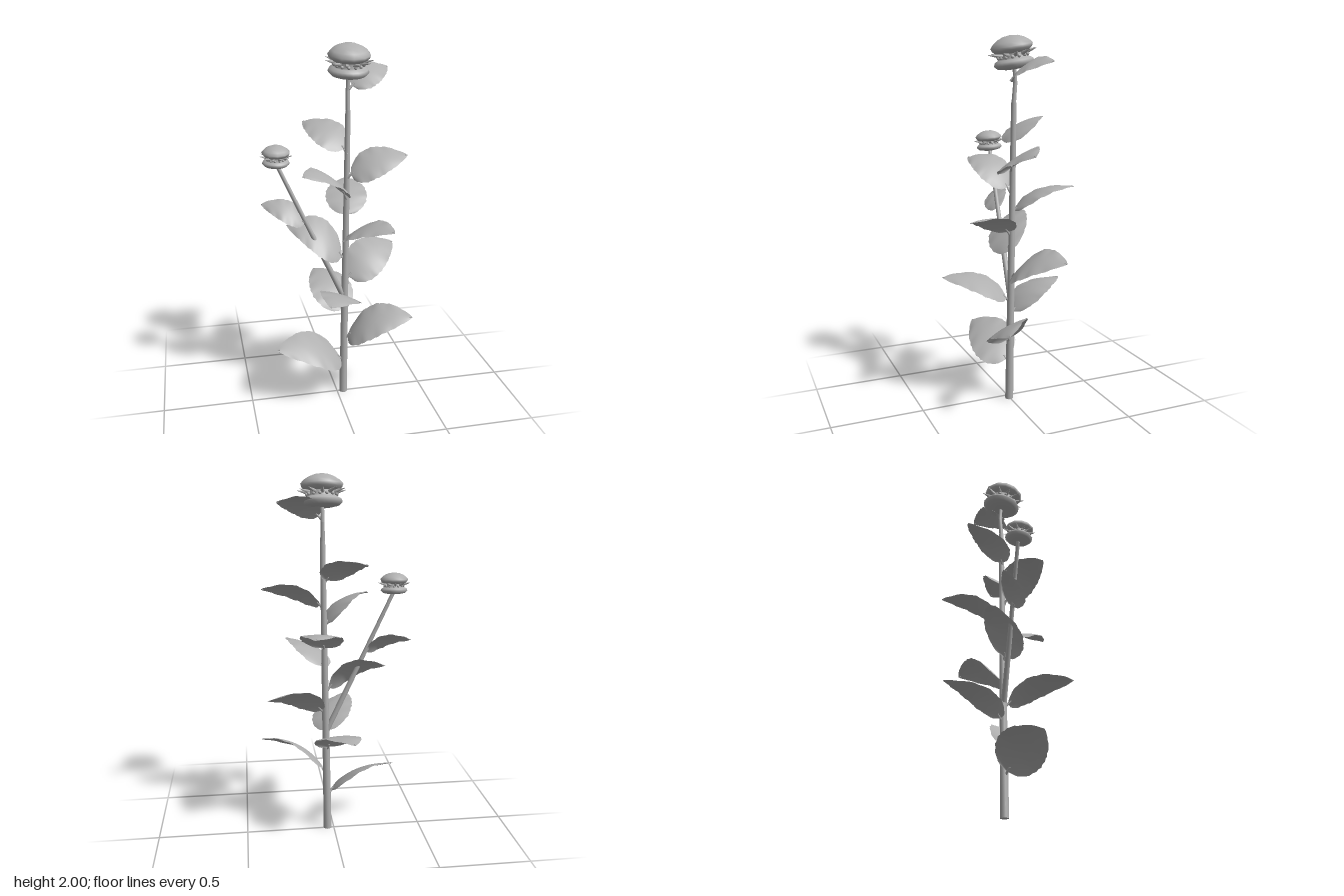
import * as THREE from 'three';

const grey = new THREE.MeshStandardMaterial({ color: 0xb0b0b0, side: THREE.DoubleSide });
grey.name = 'plainGrey';

const V = (x, y, z) => new THREE.Vector3(x, y, z);
const UP = V(0, 1, 0);
const stemAt = (y) => V(0.035 + 0.015 * y, y, 0);

function part(name, geometry) {
  const mesh = new THREE.Mesh(geometry, grey);
  mesh.name = name;
  return mesh;
}

// Straight tapered rod between two points
function rod(name, a, b, ra, rb, sides = 12) {
  const d = b.clone().sub(a);
  const mesh = part(name, new THREE.CylinderGeometry(rb, ra, d.length(), sides));
  mesh.position.copy(a).add(b).multiplyScalar(0.5);
  mesh.quaternion.setFromUnitVectors(UP, d.normalize());
  return mesh;
}

// Arched ovate blade with scalloped margins; positive roll raises its left side
function leaf(base, tip, width, roll) {
  const group = new THREE.Group();
  group.name = 'leaf';
  const heading = tip.clone().sub(base).setY(0).normalize();
  const left = UP.clone().cross(heading);
  // The midrib bows upward and towards the lower side
  const ctrl = base.clone().lerp(tip, 0.34).addScaledVector(left, -0.09 * roll);
  ctrl.y = base.y + (tip.y - base.y) * 1.22;
  const curve = new THREE.QuadraticBezierCurve3(base, ctrl, tip);
  const ROWS = 36, COLS = 10, start = 0.08;
  const pos = [], index = [];
  for (let i = 0; i <= ROWS; i++) {
    const u = i / ROWS, t = start + (1 - start) * u;
    const mid = curve.getPoint(t);
    const tangent = curve.getTangent(t);
    const side = left.clone().applyAxisAngle(heading, roll);
    const normal = tangent.clone().cross(side).normalize();
    const scallop = 1 + 0.02 * Math.sin(u * Math.PI * 18);
    const half = (width / 2) * Math.pow(u, 0.5) * Math.pow(1 - u, 0.8) / 0.42 * scallop;
    for (let j = 0; j <= COLS; j++) {
      const s = (j / COLS) * 2 - 1;
      const dip = -0.12 * half * s * s + 0.002 * Math.sin(u * 25 + s * 2) * s * s;
      const p = mid.clone().addScaledVector(side, s * half).addScaledVector(normal, dip);
      pos.push(p.x, p.y, p.z);
      if (i < ROWS && j < COLS) {
        const a = i * (COLS + 1) + j, b = a + COLS + 1;
        index.push(a, a + 1, b, b, a + 1, b + 1);
      }
    }
  }
  const blade = new THREE.BufferGeometry();
  blade.setAttribute('position', new THREE.Float32BufferAttribute(pos, 3));
  blade.setIndex(index);
  blade.computeVertexNormals();
  group.add(part('leafBlade', blade));
  // Leaf stalk and small pointed tip
  group.add(rod('leafStalk', base, curve.getPoint(0.14), 0.008, 0.005, 8));
  group.add(rod('leafPoint', curve.getPoint(0.97), tip, 0.004, 0.001, 6));
  return group;
}

// Seed head: rounded cup, ring of beads and spikes, domed cap
function head(name) {
  const group = new THREE.Group();
  group.name = name;
  const lathe = (points, sides) =>
    new THREE.LatheGeometry(points.map(([r, y]) => new THREE.Vector2(r, y)), sides);
  group.add(part('cup', lathe([[0, 0], [0.05, 0], [0.09, 0.009], [0.107, 0.026],
    [0.1, 0.042], [0.082, 0.052], [0.072, 0.058], [0.072, 0.088]], 24)));
  group.add(part('cap', lathe([[0.07, 0.08], [0.092, 0.087], [0.106, 0.1], [0.112, 0.116],
    [0.094, 0.136], [0.07, 0.152], [0.04, 0.164], [0, 0.169]], 11)));
  for (let i = 0; i < 14; i++) {
    const a = (i / 14) * Math.PI * 2;
    const bead = part('bead', new THREE.SphereGeometry(0.009, 8, 6));
    bead.position.set(Math.cos(a) * 0.078, 0.064, Math.sin(a) * 0.078);
    group.add(bead);
  }
  for (let i = 0; i < 11; i++) {
    const a = (i / 11) * Math.PI * 2 + 0.2;
    const c = Math.cos(a), s = Math.sin(a);
    group.add(rod('spike', V(c * 0.07, 0.074, s * 0.07), V(c * 0.127, 0.088, s * 0.127), 0.012, 0.001, 6));
  }
  return group;
}

export function createModel() {
  const model = new THREE.Group();
  model.name = 'plant';

  // Main stem with a thinner, slightly bent neck
  const neck = V(0.06, 1.66, -0.012), bend = V(0.06, 1.76, -0.02);
  model.add(rod('mainStem', V(0.036, 0, 0.003), neck, 0.023, 0.014));
  model.add(rod('upperStem', neck, bend, 0.012, 0.011));
  model.add(rod('flowerStalk', bend, V(0.062, 1.86, -0.014), 0.011, 0.01));

  // Side branch
  const fork = V(0.042, 0.6, 0), joint = V(-0.11, 0.93, -0.01), end = V(-0.325, 1.4, -0.025);
  model.add(rod('lowerBranch', fork, joint, 0.016, 0.014));
  model.add(rod('upperBranch', joint, end, 0.013, 0.01));

  // Heads
  const mainHead = head('mainHead');
  mainHead.position.set(0.062, 1.833, -0.018);
  mainHead.rotation.x = 0.18;
  const sideHead = head('sideHead');
  sideHead.position.set(-0.322, 1.378, -0.025);
  sideHead.rotation.x = 0.1;
  sideHead.scale.setScalar(0.67);
  model.add(mainHead, sideHead);

  // Stem leaves: base height, tip x, y, z, width, roll
  const leaves = [
    [0.20, -0.36, 0.35, 0.08, 0.27, -0.47],
    [0.33, 0.40, 0.51, 0.15, 0.25, 0.52],
    [0.48, -0.07, 0.65, -0.35, 0.25, -0.1],
    [0.57, -0.105, 0.71, 0.345, 0.23, -0.22],
    [0.70, 0.37, 0.85, -0.18, 0.25, 0.52],
    [0.82, -0.26, 1.01, -0.135, 0.25, -0.55],
    [0.95, 0.24, 1.075, 0.295, 0.22, 0.27],
    [1.06, 0.127, 1.21, -0.34, 0.23, 0],
    [1.18, -0.21, 1.355, 0.15, 0.22, -0.32],
    [1.30, 0.385, 1.41, 0.01, 0.24, 0.5],
    [1.43, -0.14, 1.565, -0.26, 0.22, -0.3],
    [1.77, 0.30, 1.865, -0.125, 0.18, 0.52],
  ];
  for (const [y, tx, ty, tz, w, roll] of leaves) {
    model.add(leaf(stemAt(y), V(tx, ty, tz), w, roll));
  }
  // Leaf on the branch
  model.add(leaf(V(-0.16, 1.04, -0.013), V(-0.40, 1.145, -0.12), 0.15, -0.6));

  return model;
}
